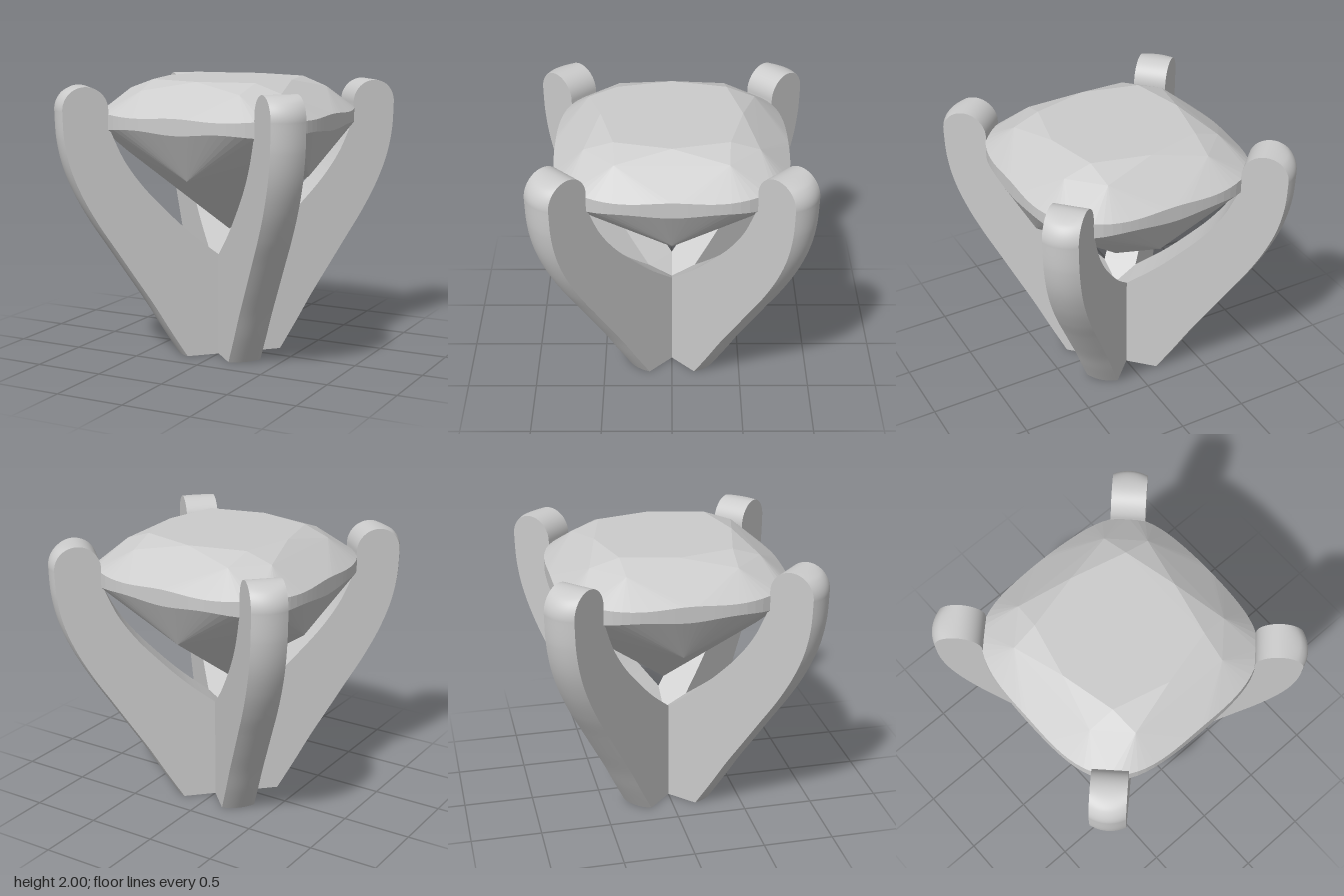
import * as THREE from 'three';
import { toCreasedNormals } from 'three/addons/utils/BufferGeometryUtils.js';
import { ConvexGeometry } from 'three/addons/geometries/ConvexGeometry.js';

const material = new THREE.MeshStandardMaterial({ color: 0xcccccc });
const v2 = (list) => list.map(([x, y]) => new THREE.Vector2(x, y));

// Prong side profile (radius, height), extruded, with a gently rounded outer face
function prongGeometry() {
  const half = 0.12;
  const shape = new THREE.Shape();
  shape.moveTo(0, 0);
  shape.lineTo(0.355, 0);
  shape.splineThru(v2([
    [0.48, 0.2], [0.6, 0.4], [0.73, 0.6], [0.86, 0.8], [0.99, 1],
    [1.1, 1.2], [1.18, 1.4], [1.222, 1.6], [1.232, 1.805],
  ]));
  shape.absarc(1.072, 1.805, 0.16, 0, Math.PI, false);
  shape.lineTo(0.912, 1.69);
  shape.splineThru(v2([[0.81, 1.46], [0.68, 1.27], [0.516, 1.09], [0.33, 0.91], [0.12, 0.74]]));
  shape.lineTo(0, 0.64);

  const geo = new THREE.ExtrudeGeometry(shape, {
    depth: 2 * half, steps: 10, bevelEnabled: false, curveSegments: 20,
  });
  geo.translate(0, 0, -half);
  const p = geo.attributes.position;
  for (let i = 0; i < p.count; i++) {
    const r = p.getX(i), middle = 0.2 + 0.443 * p.getY(i);
    const outer = THREE.MathUtils.clamp((r - middle) / 0.12, 0, 1);
    const across = 1 - (p.getZ(i) / half) ** 2;
    p.setX(i, r + 0.03 * outer * across);
  }
  return toCreasedNormals(geo, 0.6);
}

// Faceted cushion stone as the hull of its table, crown, girdle and pavilion points
function stoneGeometry() {
  const pts = [new THREE.Vector3(0, 0.9, 0)];
  const add = (x, y, z) => pts.push(new THREE.Vector3(x, y, z));
  for (const s of [-1, 1]) {
    // table and pavilion points on the axes
    add(0.49 * s, 2, 0);
    add(0, 2, 0.49 * s);
    add(0.63 * s, 1.33, 0);
    add(0, 1.33, 0.63 * s);
    for (const t of [-1, 1]) {
      // table corners, star facet tips, pavilion corners
      add(0.4 * s, 2, 0.39 * t);
      add(0.59 * s, 1.933, 0.38 * t);
      add(0.38 * s, 1.933, 0.59 * t);
      add(0.53 * s, 1.5, 0.53 * t);
    }
  }
  // girdle: a rounded-square ring with slightly wavy edges
  const n = 3.39, count = 96;
  for (let i = 0; i < count; i++) {
    const a = (i / count) * Math.PI * 2, c = Math.cos(a), s = Math.sin(a);
    const r = 0.81 / (Math.abs(c) ** n + Math.abs(s) ** n) ** (1 / n);
    const wave = Math.cos(8 * a);
    add(r * c, 1.77 + 0.007 * wave, r * s);
    add(r * c, 1.672 - 0.01 * wave, r * s);
  }
  return new ConvexGeometry(pts);
}

export function createModel() {
  const model = new THREE.Group();
  model.name = 'stoneSetting';

  const stone = new THREE.Mesh(stoneGeometry(), material);
  stone.name = 'cushionStone';
  model.add(stone);

  // four prongs on the diagonals, joined at the centre
  const geo = prongGeometry();
  for (let i = 0; i < 4; i++) {
    const prong = new THREE.Mesh(geo, material);
    prong.name = `prong${i + 1}`;
    prong.rotation.y = Math.PI / 4 + (i * Math.PI) / 2;
    model.add(prong);
  }
  return model;
}
